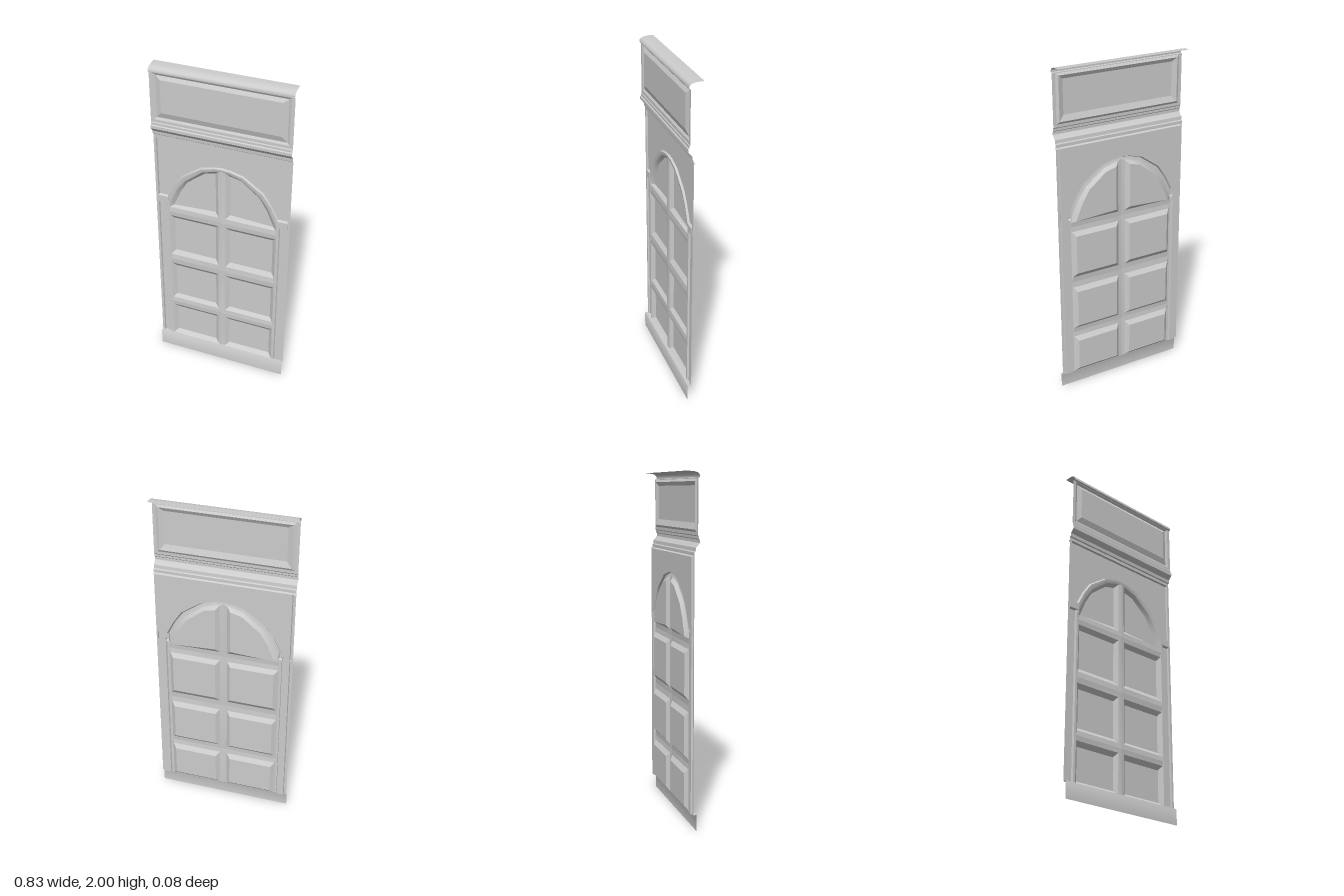
import * as THREE from 'three';
import { toCreasedNormals } from 'three/addons/utils/BufferGeometryUtils.js';

const W = 0.415; // half width of the whole panel
const material = new THREE.MeshStandardMaterial({ color: 0xcccccc, side: THREE.DoubleSide });

// Skin a relief surface through rows of [x, y, z] points; optionally close and cap it.
function loft(name, rows, { closed = false, fill = false, crease = 0.5 } = {}) {
  const n = rows[0].length, index = [];
  for (let r = 0; r < rows.length - 1; r++) {
    for (let i = 0; i < (closed ? n : n - 1); i++) {
      const a = r * n + i, b = r * n + (i + 1) % n;
      index.push(a, b, b + n, a, b + n, a + n);
    }
  }
  if (fill) {
    const last = rows[rows.length - 1].map(p => new THREE.Vector2(p[0], p[1]));
    const base = (rows.length - 1) * n;
    for (const f of THREE.ShapeUtils.triangulateShape(last, [])) index.push(...f.map(i => i + base));
  }
  const g = new THREE.BufferGeometry();
  g.setAttribute('position', new THREE.Float32BufferAttribute(rows.flat(2), 3));
  g.setIndex(index);
  const mesh = new THREE.Mesh(toCreasedNormals(g, crease), material);
  mesh.name = name;
  return mesh;
}

const rect = (x0, x1, y0, y1, z) => [[x0, y0, z], [x1, y0, z], [x1, y1, z], [x0, y1, z]];
const atZ = (pts, z) => pts.map(([x, y]) => [x, y, z]);
const mirror = rows => rows.map(row => row.map(([x, y, z]) => [-x, y, z]).reverse());

// Horizontal moulding: profile of [z, y] run across the full width.
const moulding = (name, profile, crease) =>
  loft(name, profile.map(([z, y]) => [[-W, y, z], [W, y, z]]), { crease });

// Vertical moulding: profile of [x, z] from outside inwards.
const upright = (profile, y0, y1) => profile.map(([x, z]) => [[x, y0, z], [x, y1, z]]);

export function createModel() {
  const model = new THREE.Group();
  model.name = 'wallPanel';
  const pair = (name, rows, options) => {
    model.add(loft(name + 'Left', rows, options), loft(name + 'Right', mirror(rows), options));
  };

  // Plinth, middle cornice and rounded cap
  model.add(moulding('plinth', [[0.03, 0], [0.03, 0.09], [0.027, 0.097], [0.008, 0.097]]));
  model.add(moulding('cornice', [
    [0, 1.546], [0.01, 1.552], [0.01, 1.57], [0.016, 1.575], [0.018, 1.595], [0.028, 1.605],
    [0.04, 1.62], [0.04, 1.637], [0.034, 1.642], [0.034, 1.655], [0.03, 1.66], [0.03, 1.672]]));
  model.add(moulding('cap', [
    [0.03, 1.962], [0.039, 1.966], [0.04, 1.975], [0.035, 1.985], [0.024, 1.993],
    [0.005, 1.998], [-0.02, 1.9995], [-0.043, 2]], 0.9));

  // Upper panel with a stepped frame and raised field
  model.add(loft('upperPanel', [
    rect(-W, W, 1.67, 1.964, 0.03), rect(-0.395, 0.395, 1.677, 1.96, 0.03),
    rect(-0.38, 0.38, 1.69, 1.947, 0.022), rect(-0.35, 0.35, 1.725, 1.925, 0.034),
  ], { closed: true, fill: true, crease: 0.3 }));

  // Outer border, pilasters and impost blocks
  const border = [[W, 0.01], [0.4, 0.01], [0.397, 0]];
  pair('border', upright(border, 1.13, 1.552));
  pair('pilaster', upright([...border, [0.355, 0], [0.35, 0.01], [0.335, 0.01]], 0.097, 1.13));
  pair('impost', [
    rect(0.333, 0.402, 1.11, 1.168, 0), rect(0.335, 0.4, 1.118, 1.16, 0.012),
  ], { closed: true, fill: true });

  // Arch: outer edge and crest, from springing to crown
  const archOuter = [[0.345, 1.165], [0.3, 1.25], [0.25, 1.322], [0.13, 1.405], [0.05, 1.425], [0, 1.43]];
  const archCrest = [[0.335, 1.13], [0.288, 1.235], [0.238, 1.303], [0.122, 1.388], [0.045, 1.41], [0, 1.412]];
  const archRidge = archOuter.map(([x, y], i) => [
    x + (archCrest[i][0] - x) * 0.35, y + (archCrest[i][1] - y) * 0.35]);
  pair('archMoulding', [atZ(archOuter, 0), atZ(archRidge, 0.012), atZ(archCrest, 0.01)]);

  // Flat spandrels beside the arch
  pair('spandrel', [atZ([[0.345, 1.15], [0.397, 1.15], [0.397, 1.546], [0, 1.546],
    ...archOuter.slice().reverse()], 0)], { fill: true });

  // Sunk panels: bar centre line, bar edge, panel edge (bottom and top of each)
  const cells = [
    [0.097, 0.099, 0.12, 0.312, 0.339, 0.368],
    [0.368, 0.397, 0.418, 0.645, 0.672, 0.706],
    [0.706, 0.74, 0.767, 1.005, 1.03, 1.06],
  ];
  cells.forEach(([c0, e0, p0, p1, e1, c1], i) => {
    pair('sunkPanel' + (i + 1), [
      rect(0, 0.335, c0, c1, 0.01), rect(0.022, 0.331, e0, e1, 0.007), rect(0.045, 0.31, p0, p1, -0.012),
    ], { closed: true, fill: true, crease: 0.3 });
  });

  // Arched panels at the head
  pair('archedPanel', [
    atZ([[0, 1.06], [0.335, 1.06], ...archCrest], 0.01),
    atZ([[0.022, 1.09], [0.331, 1.09], [0.327, 1.125], [0.28, 1.225], [0.23, 1.293],
      [0.118, 1.378], [0.045, 1.4], [0.022, 1.402]], 0.007),
    atZ([[0.045, 1.114], [0.31, 1.1], [0.305, 1.112], [0.268, 1.2], [0.222, 1.275],
      [0.112, 1.362], [0.06, 1.376], [0.045, 1.378]], -0.012),
  ], { closed: true, fill: true, crease: 0.3 });

  return model;
}
